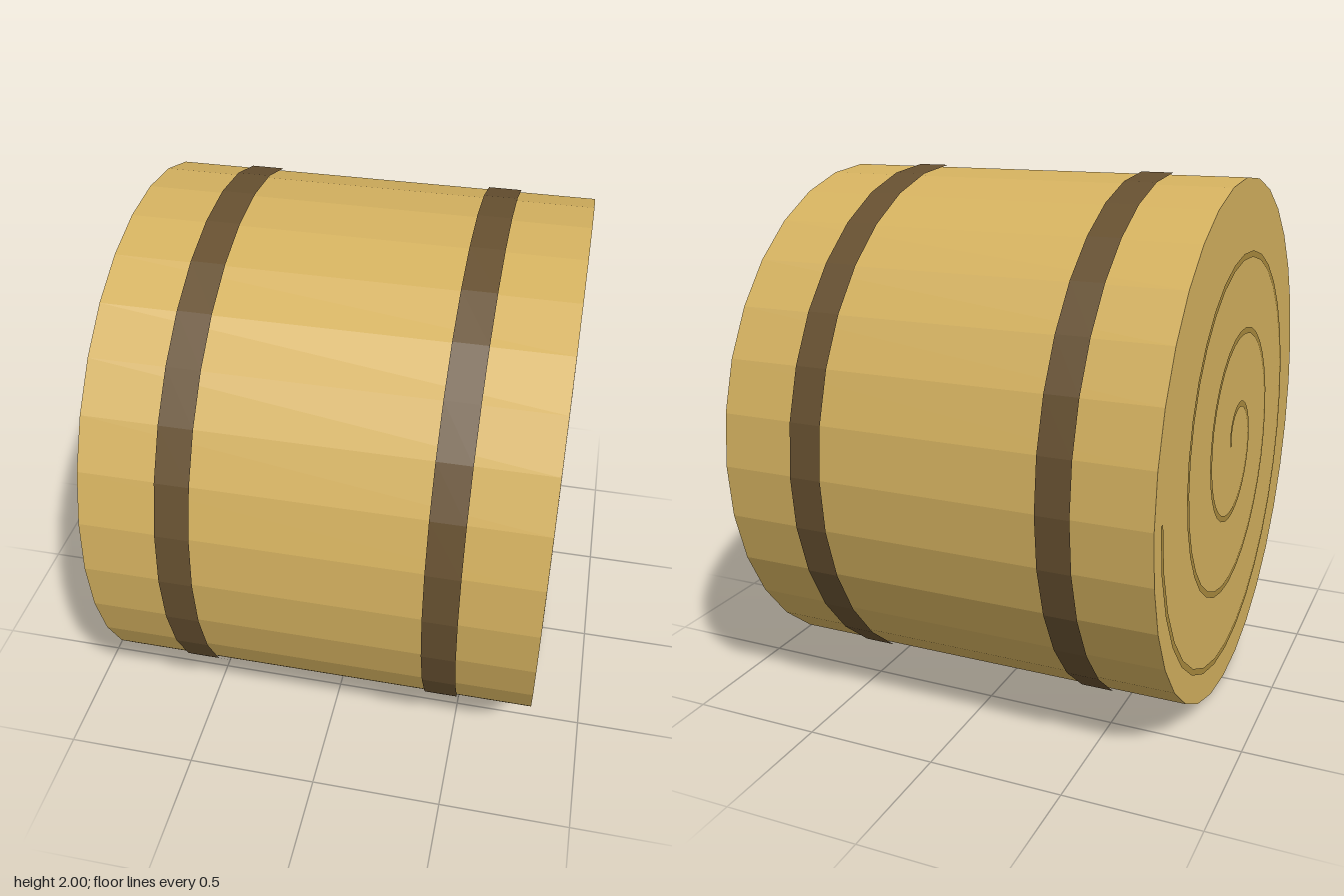
import * as THREE from 'three';

const SIDES = 32;

function createMaterial(color, side = THREE.FrontSide) {
  return new THREE.MeshStandardMaterial({ color, flatShading: true, side });
}

// Cylinder lying along x
function drum(name, radius, length, open, material) {
  const geometry = new THREE.CylinderGeometry(radius, radius, length, SIDES, 1, open);
  geometry.rotateZ(Math.PI / 2);
  const mesh = new THREE.Mesh(geometry, material);
  mesh.name = name;
  return mesh;
}

// Flat ribbon winding outwards in the yz plane
function spiralRibbon(turns, rStart, rEnd, width) {
  const steps = turns * SIDES;
  const positions = [];
  const index = [];
  for (let i = 0; i <= steps; i++) {
    const t = i / steps;
    const angle = t * turns * Math.PI * 2;
    const r = rStart + (rEnd - rStart) * t;
    for (const edge of [r - width / 2, r + width / 2]) {
      positions.push(0, Math.sin(angle) * edge, -Math.cos(angle) * edge);
    }
    if (i < steps) {
      const a = i * 2;
      index.push(a, a + 1, a + 2, a + 1, a + 3, a + 2);
    }
  }
  const geometry = new THREE.BufferGeometry();
  geometry.setAttribute('position', new THREE.Float32BufferAttribute(positions, 3));
  geometry.setIndex(index);
  geometry.computeVertexNormals();
  return geometry;
}

export function createModel() {
  const straw = createMaterial(0xd4b15f);
  const groove = createMaterial(0xa98a3e, THREE.DoubleSide);
  const twine = createMaterial(0x665030);

  const bale = new THREE.Group();
  bale.name = 'roundBale';

  // Rolled body
  bale.add(drum('baleBody', 0.992, 1.6, false, straw));

  // One twine band and one end spiral on each side
  const spiral = spiralRibbon(3, 0.06, 0.922, 0.024);
  for (const [side, label] of [[1, 'left'], [-1, 'right']]) {
    const band = drum(label + 'Band', 1, 0.122, true, twine);
    band.position.x = side * 0.463;
    const swirl = new THREE.Mesh(spiral, groove);
    swirl.name = label + 'EndSpiral';
    swirl.position.x = side * 0.803;
    bale.add(band, swirl);
  }

  bale.position.y = 1;
  const model = new THREE.Group();
  model.add(bale);
  return model;
}
